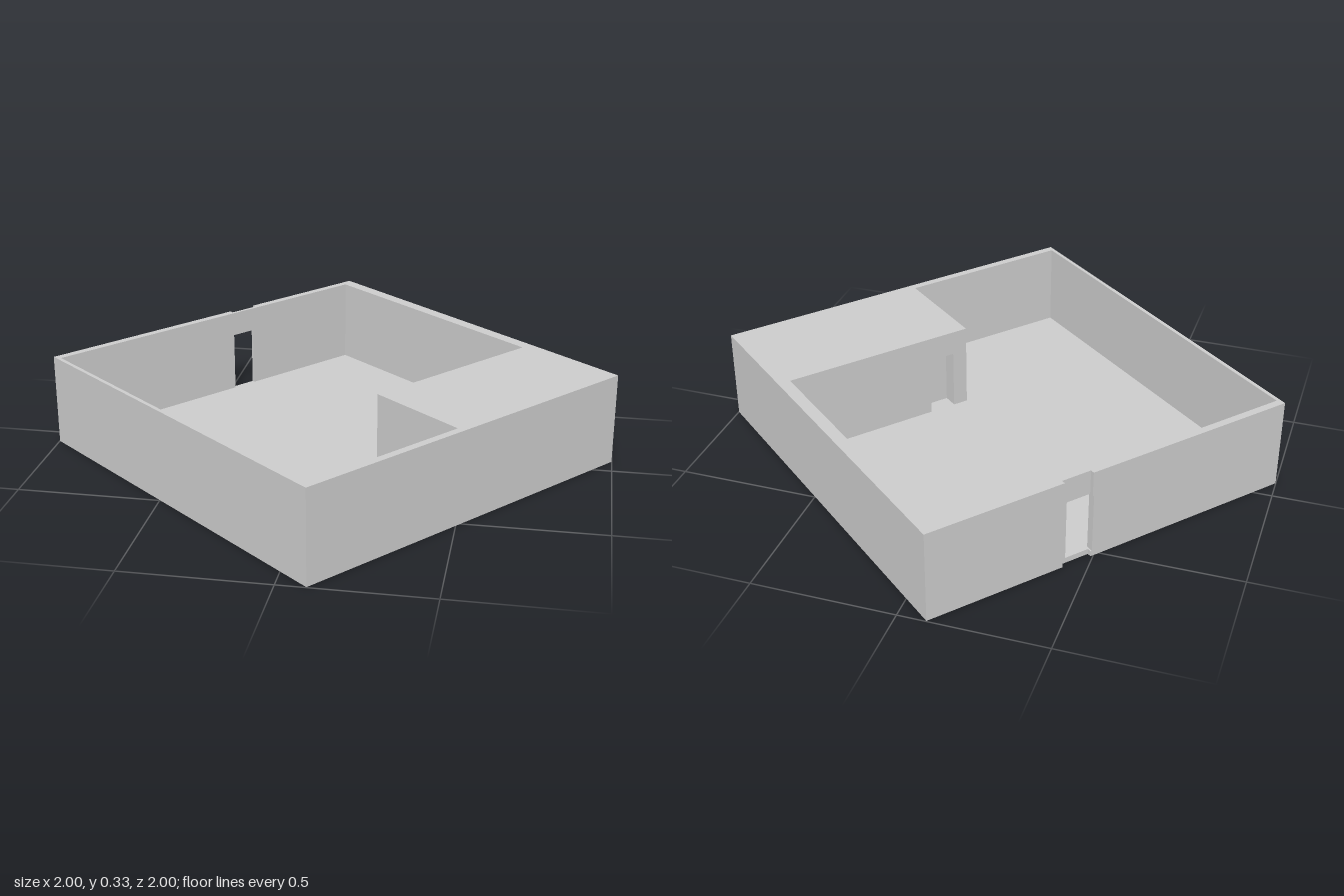
import * as THREE from 'three';

const FLOOR = 0.02, DOOR_TOP = 0.24, TOP = 0.33;
const W = 0.715, L = 0.7025;            // outer half sizes
const IX = 0.688, IB = 0.6575, IF = 0.6885; // inner faces: sides, back, front
const BX = 0.305, BY = -0.0535;         // free corner of the solid corner block
const RX = -0.70, R0 = 0.0875, R1 = 0.1975; // shallow recess in the outer wall
const D0 = 0.0825, D1 = 0.1775;         // doorway
const N0 = 0.0025, N1 = 0.1, NX = 0.36; // door niche in the block

const points = (list) => list.map(([x, y]) => new THREE.Vector2(x, y));

// Outer plan with the shallow recess
const outline = [
  [-W, -L], [W, -L], [W, L], [-W, L], [-W, R1], [RX, R1], [RX, R0], [-W, R0],
];

// Plan of the L-shaped room
const room = [
  [-IX, -IF], [-IX, IB], [BX, IB], [BX, BY], [IX, BY], [IX, -IF],
];

// Walls at door height: the ring is open at the doorway and notched by the niche
const doorLevel = [
  [-W, D0], [-W, -L], [W, -L], [W, L], [-W, L], [-W, R1], [RX, R1], [RX, D1],
  [-IX, D1], [-IX, IB], [BX, IB], [BX, N1], [NX, N1], [NX, N0], [BX, N0],
  [BX, BY], [IX, BY], [IX, -IF], [-IX, -IF], [-IX, D0],
];

export function createModel() {
  const model = new THREE.Group();
  model.name = 'roomShell';
  const building = new THREE.Group();
  building.name = 'building';
  building.rotation.y = THREE.MathUtils.degToRad(-39.9);
  model.add(building);

  const material = new THREE.MeshStandardMaterial({ color: 0xcccccc });

  // Raises a plan from one height to another
  const addLevel = (name, plan, y0, y1, hole) => {
    const shape = new THREE.Shape(points(plan));
    if (hole) shape.holes.push(new THREE.Path(points(hole)));
    const geometry = new THREE.ExtrudeGeometry(shape, { depth: y1 - y0, bevelEnabled: false });
    geometry.rotateX(-Math.PI / 2).translate(0, y0, 0);
    const mesh = new THREE.Mesh(geometry, material);
    mesh.name = name;
    building.add(mesh);
  };

  addLevel('floor', outline, 0, FLOOR);
  addLevel('wallsWithDoorway', doorLevel, FLOOR, DOOR_TOP);
  addLevel('wallsAboveDoorway', outline, DOOR_TOP, TOP, room);

  return model;
}
